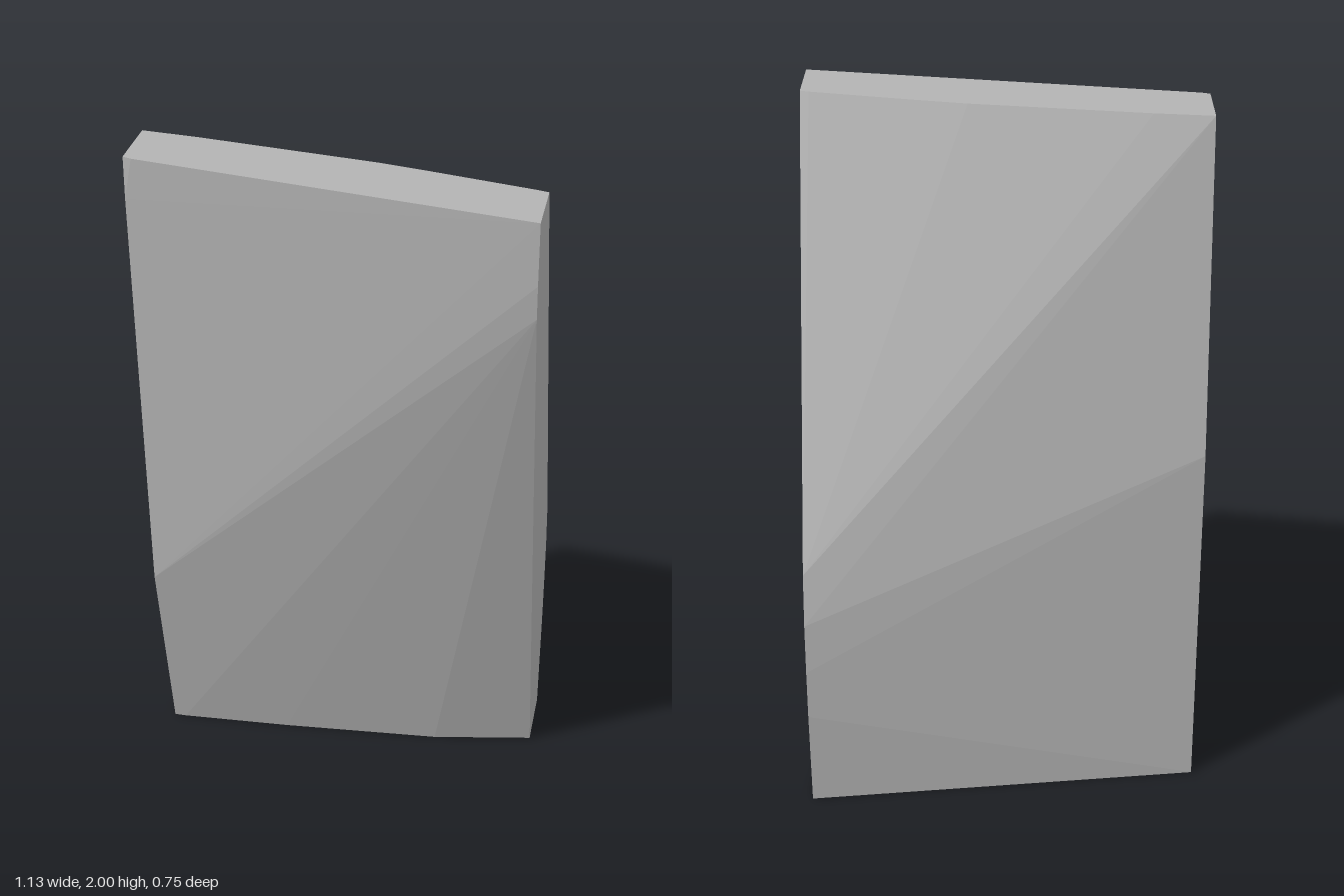
import * as THREE from 'three';
import { ConvexGeometry } from 'three/addons/geometries/ConvexGeometry.js';

const W = 0.565; // half width

export function createModel() {
  const group = new THREE.Group();
  group.name = 'slantedPanel';
  const grey = new THREE.MeshStandardMaterial({ color: 0xb3b3b3 });
  grey.name = 'plainGrey';

  const points = [];
  const add = (list) => list.forEach((p) => points.push(new THREE.Vector3(...p)));
  const side = (x, outline) => add(outline.map(([y, z]) => [x, y, z]));
  const edge = (y, line) => add(line.map(([x, z]) => [x, y, z]));

  // Left side outline (y, z): front edge, then back edge
  side(W, [[2, 0.375], [1.82, 0.36], [1.72, 0.345], [0, -0.155],
    [0, -0.36], [0.3, -0.373], [0.45, -0.37], [0.6, -0.36], [0.75, -0.33], [2, 0.18]]);
  // Right side outline
  side(-W, [[2, 0.16], [1.88, 0.159], [0.62, 0.083], [0, -0.06],
    [0, -0.222], [1.06, -0.19], [2, -0.03]]);
  // Bowed top edge (x, z) at the back, clipped corner at the front
  edge(2, [[-0.54, 0.17], [-0.4, -0.01], [0.1, 0.07], [0.25, 0.103], [0.54, 0.172]]);
  // Bowed bottom edge at the front
  edge(0, [[0.27, -0.102], [-0.2, -0.072], [-0.53, -0.059]]);

  // Faceted convex slab spanning both outlines
  const slab = new THREE.Mesh(new ConvexGeometry(points), grey);
  slab.name = 'slab';
  group.add(slab);
  return group;
}
